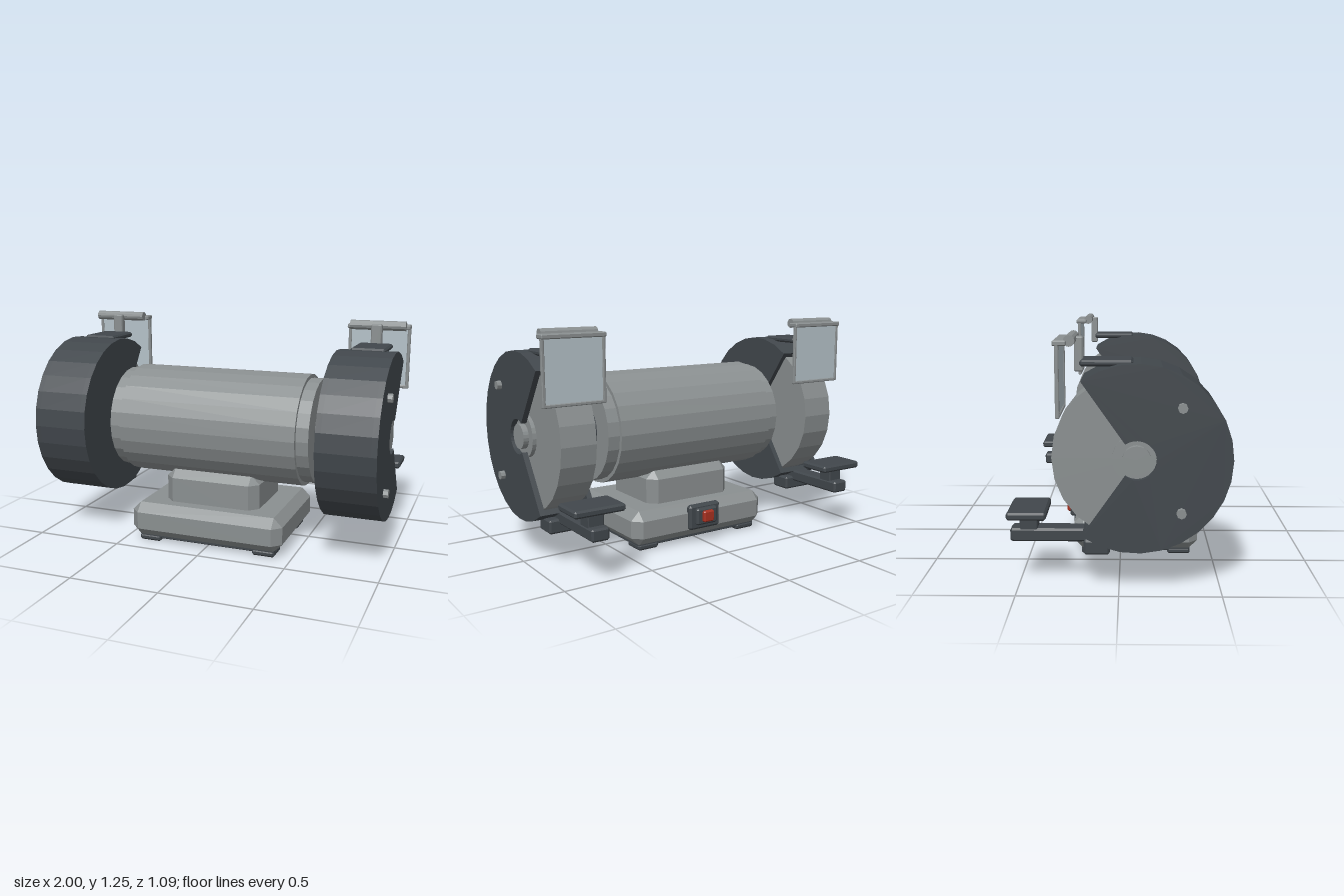
import * as THREE from 'three';
import { ConvexGeometry } from 'three/addons/geometries/ConvexGeometry.js';

const mat = (name, color) => {
  const m = new THREE.MeshStandardMaterial({ color, flatShading: true });
  m.name = name;
  return m;
};

export function createModel() {
  const model = new THREE.Group();
  model.name = 'benchGrinder';
  const grey = mat('castGrey', 0x8a8f90);
  const dark = mat('darkIron', 0x41474c);
  const glass = mat('paleGlass', 0xb4c1c8);
  const red = mat('switchRed', 0xa8301f);

  const CY = 0.665, CZ = 0.085; // shaft axis

  const add = (parent, name, geo, material, x = 0, y = 0, z = 0) => {
    const mesh = new THREE.Mesh(geo, material);
    mesh.name = name;
    mesh.position.set(x, y, z);
    parent.add(mesh);
    return mesh;
  };

  // Box with every edge chamfered by c, given by its ranges
  const block = (parent, name, material, [x0, x1], [y0, y1], [z0, z1], c = 0.01) => {
    const h = [(x1 - x0) / 2, (y1 - y0) / 2, (z1 - z0) / 2];
    const pts = [];
    for (const sx of [-1, 1]) for (const sy of [-1, 1]) for (const sz of [-1, 1])
      for (let full = 0; full < 3; full++) {
        const p = h.map((v, i) => (i === full ? v : v - c));
        pts.push(new THREE.Vector3(p[0] * sx, p[1] * sy, p[2] * sz));
      }
    return add(parent, name, new ConvexGeometry(pts), material,
      (x0 + x1) / 2, (y0 + y1) / 2, (z0 + z1) / 2);
  };

  // Cylinder lying along x
  const rod = (parent, name, material, r, x0, x1, y = CY, z = CZ, sides = 24) =>
    add(parent, name, new THREE.CylinderGeometry(r, r, Math.abs(x1 - x0), sides).rotateZ(Math.PI / 2),
      material, (x0 + x1) / 2, y, z);

  // Open ring sector, extruded along x and centred on its own middle
  const sector = (rIn, rOut, width) => {
    const from = THREE.MathUtils.degToRad(55), sweep = THREE.MathUtils.degToRad(250), n = 20;
    const pts = [];
    for (let i = 0; i <= n; i++) {
      const a = from + (sweep * i) / n;
      pts.push(new THREE.Vector2(Math.cos(a) * rOut, Math.sin(a) * rOut));
    }
    for (let i = n; i >= 0; i--) {
      const a = from + (sweep * i) / n;
      pts.push(new THREE.Vector2(Math.cos(a) * rIn, Math.sin(a) * rIn));
    }
    return new THREE.ExtrudeGeometry(new THREE.Shape(pts), { depth: width, bevelEnabled: false })
      .translate(0, 0, -width / 2).rotateY(Math.PI / 2);
  };

  // Base, pedestal and feet
  block(model, 'base', grey, [-0.45, 0.45], [0.03, 0.228], [CZ - 0.34, CZ + 0.34], 0.05);
  block(model, 'bottomPlate', dark, [-0.405, 0.405], [0.02, 0.04], [CZ - 0.295, CZ + 0.295], 0.004);
  block(model, 'pedestal', grey, [-0.28, 0.28], [0.13, 0.418], [CZ - 0.225, CZ + 0.225], 0.05);
  for (const sx of [-1, 1]) for (const sz of [-1, 1]) {
    const x = sx * 0.342, z = CZ + sz * 0.237;
    block(model, 'foot', dark, [x - 0.065, x + 0.065], [0, 0.034], [z - 0.063, z + 0.063], 0.01);
  }

  // Power switch on the back
  block(model, 'switchPlate', dark, [-0.105, 0.105], [0.08, 0.224], [-0.278, -0.235], 0.012);
  block(model, 'switchBezel', dark, [-0.07, 0.07], [0.11, 0.207], [-0.302, -0.26], 0.01);
  block(model, 'switchRocker', red, [-0.036, 0.036], [0.128, 0.194], [-0.322, -0.29], 0.008);

  // Motor
  rod(model, 'motorBody', grey, 0.313, -0.513, 0.513);
  rod(model, 'motorEndBells', grey, 0.292, -0.582, 0.582);

  // Grinding stations, mirrored left and right
  for (const s of [-1, 1]) {
    const X = 0.814 * s;
    const st = new THREE.Group();
    st.name = s > 0 ? 'leftStation' : 'rightStation';
    model.add(st);
    const span = (half) => [X - half, X + half];

    // Shaft collars
    rod(st, 'collar', dark, 0.163, 0.575 * s, 0.633 * s);
    rod(st, 'collarStep', dark, 0.137, 0.63 * s, 0.66 * s);

    // Wheel guard: two cheeks and the outer band
    for (const side of [-1, 1])
      add(st, 'guardCheek', sector(0.095, 0.457, 0.03), dark, X + side * 0.143, CY, CZ);
    add(st, 'guardBand', sector(0.427, 0.457, 0.256), dark, X, CY, CZ);
    for (const dy of [-0.253, 0.253])
      rod(st, 'guardScrew', grey, 0.024, 0.96 * s, 0.998 * s, CY + dy, 0.298, 8);

    // Wheel, flange and nut
    rod(st, 'wheel', grey, 0.408, X - 0.1, X + 0.1);
    rod(st, 'flange', grey, 0.117, X - 0.122, X + 0.122);
    rod(st, 'shaftNut', grey, 0.068, X, X + 0.152 * s);

    // Tool rest
    block(st, 'restMount', dark, span(0.105), [0.178, 0.255], [-0.172, -0.045]);
    block(st, 'restArm', dark, span(0.05), [0.227, 0.294], [-0.538, -0.1]);
    block(st, 'restPost', dark, span(0.045), [0.28, 0.375], [-0.49, -0.402], 0.005);
    block(st, 'restTable', dark, span(0.142), [0.362, 0.401], [-0.543, -0.351]);

    // Eye shield and its mount
    block(st, 'shieldMount', dark, span(0.095), [1.101, 1.132], [-0.185, 0.068]);
    block(st, 'shieldBracket', grey, span(0.03), [1.07, 1.236], [-0.214, -0.171], 0.006);
    rod(st, 'shieldHinge', grey, 0.027, X - 0.157, X + 0.157, 1.226, -0.228, 12);
    block(st, 'shieldTopRail', grey, span(0.178), [1.204, 1.229], [-0.305, -0.24], 0.005);
    for (const side of [-1, 1]) {
      const x = X + side * 0.168;
      block(st, 'shieldSideRail', grey, [x - 0.009, x + 0.009], [0.866, 1.21], [-0.294, -0.274], 0.004);
    }
    block(st, 'shieldBottomRail', grey, span(0.177), [0.866, 0.884], [-0.294, -0.274], 0.004);
    add(st, 'shieldPane', new THREE.BoxGeometry(0.33, 0.335, 0.008), glass, X, 1.043, -0.284);
  }

  return model;
}
